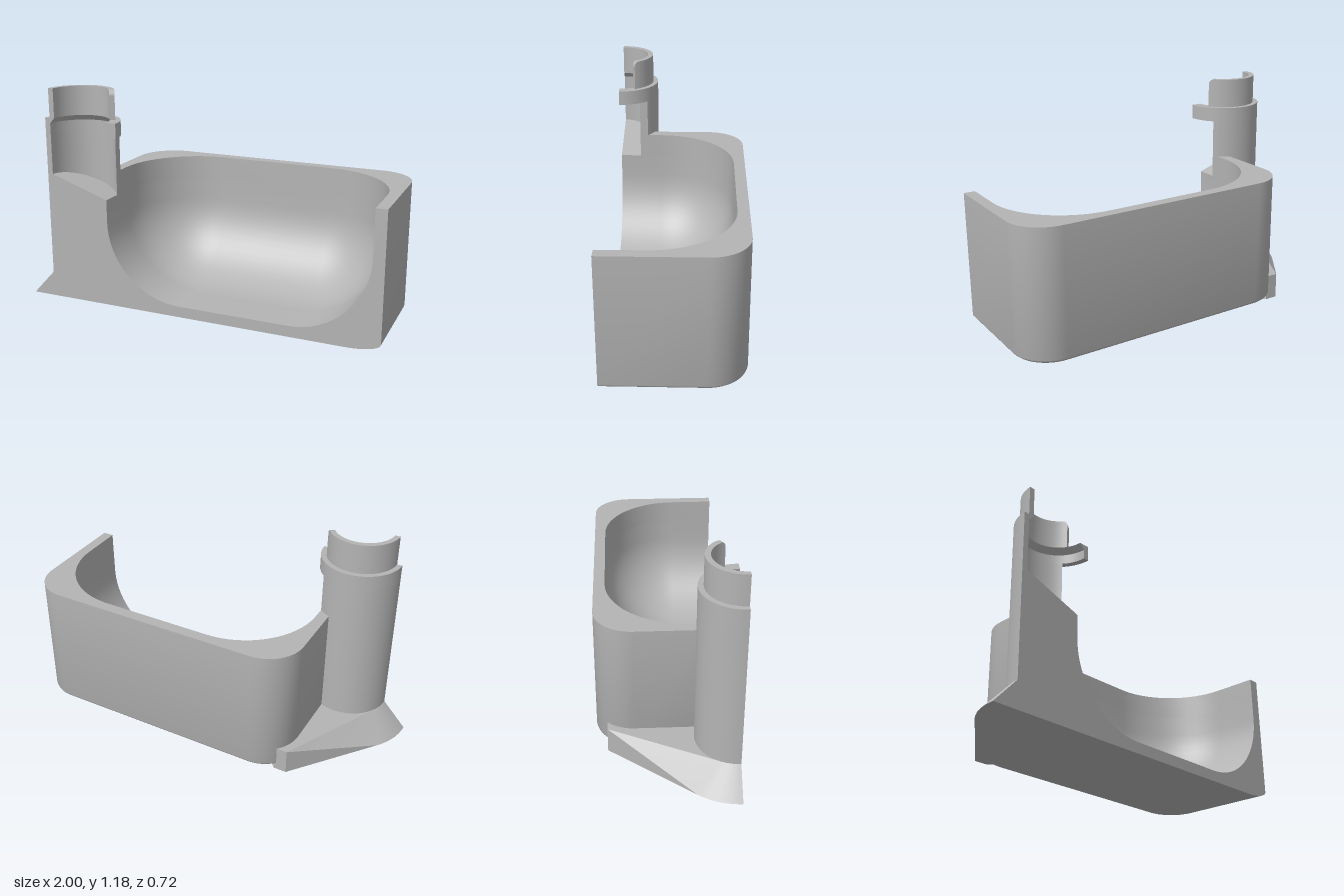
import * as THREE from 'three';
import { toCreasedNormals } from 'three/addons/utils/BufferGeometryUtils.js';

const F = 0.355;            // flat section plane at the front
const CX = -0.655;          // axis of the pipe
const WALL = -0.51;         // left wall of the basin
const R_OUT = 0.215, R_IN = 0.185;

// surface through rows of points
function skin(rows, flip = false) {
  const pos = [];
  for (let i = 0; i < rows.length - 1; i++) {
    for (let j = 0; j < rows[i].length - 1; j++) {
      const a = rows[i][j], b = rows[i][j + 1], c = rows[i + 1][j + 1], d = rows[i + 1][j];
      const tris = flip ? [a, c, b, a, d, c] : [a, b, c, a, c, d];
      tris.forEach((p) => pos.push(...p));
    }
  }
  const g = new THREE.BufferGeometry();
  g.setAttribute('position', new THREE.Float32BufferAttribute(pos, 3));
  return toCreasedNormals(g, 0.6);
}

const polygon = (pts) => new THREE.ShapeGeometry(new THREE.Shape(pts.map((p) => new THREE.Vector2(p[0], p[1]))));
const faceUp = (pts, y) => polygon(pts.map((p) => [p[0], -p[2]])).rotateX(-Math.PI / 2).translate(0, y, 0);
const faceDown = (pts, y) => polygon(pts.map((p) => [p[0], p[2]])).rotateX(Math.PI / 2).translate(0, y, 0);
const faceFront = (pts) => polygon(pts).translate(0, 0, F);

// plan outline, open at the front: right side, back, left side
function loop(x0, x1, zb, r, d, y, zLeft) {
  const rr = Math.max(r - d, 0.001), n = 16, pts = [[x1 - d, y, F]];
  for (const [cx, start] of [[x1 - r, 0], [x0 + r, Math.PI / 2]]) {
    for (let k = 0; k <= n; k++) {
      const a = start + (k / n) * Math.PI / 2;
      pts.push([cx + rr * Math.cos(a), y, zb + r - rr * Math.sin(a)]);
    }
  }
  pts.push([x0 + d, y, zLeft]);
  return pts;
}

// arc about the pipe axis, from the left (t = 0) round the back to the right (t = PI)
const range = (a, b, n) => Array.from({ length: n + 1 }, (_, k) => a + (b - a) * k / n);
const arc = (r, ts, y) => ts.map((t) => {
  const x = CX - r * Math.cos(t);
  return [x, typeof y === 'function' ? y(x, t) : y, F - r * Math.sin(t)];
});
// angle at which a circle about the axis meets the basin wall
const cutAngle = (r) => Math.PI - Math.acos((WALL - CX) / r);

export function createModel() {
  const model = new THREE.Group();
  const grey = new THREE.MeshStandardMaterial({ color: 0xb4b4b4, side: THREE.DoubleSide });
  grey.name = 'plain grey';
  const add = (name, geometry) => {
    const m = new THREE.Mesh(geometry, grey);
    m.name = name;
    model.add(m);
  };

  // outer body with a shallow rounded lower edge
  const outer = (d, y, zl = 0.165) => loop(-0.57, 1, -0.36, 0.2, d, y, zl);
  const edge = range(0, Math.PI / 2, 8).map((a) => [0.18 * (1 - Math.sin(a)), 0.045 * (1 - Math.cos(a))]);
  add('bodyWall', skin([...edge.map(([d, y]) => outer(d, y)), outer(0, 0.73)]));
  add('bodyUnderside', faceDown([...outer(0.18, 0), [-0.39, 0, F]], 0));

  // basin: round corners running into a round floor edge
  const basin = (d, y, zl = F) => loop(WALL, 0.94, -0.3, 0.42, d, y, zl);
  const bowl = range(0, Math.PI / 2, 16).map((a) => [0.42 * (1 - Math.sin(a)), 0.06 + 0.42 * (1 - Math.cos(a))]);
  add('basinBowl', skin([...bowl.map(([d, y]) => basin(d, y)), basin(0, 0.6)], true));
  add('basinUpperWall', skin([basin(0, 0.6, 0.24), basin(0, 0.73, 0.24)], true));
  add('basinFloor', faceUp([[-0.09, 0, 0.12], [0.52, 0, 0.12], [0.52, 0, F], [-0.09, 0, F]], 0.06));
  add('rim', faceUp([...outer(0, 0.73), ...basin(0, 0.73, 0.205).reverse()], 0.73));

  // pipe, cut away on the right where it opens to the basin
  const tOut = range(0, cutAngle(R_OUT), 32), tIn = range(0, cutAngle(R_IN), 32);
  const half = range(0, Math.PI, 40);
  const slope = (x) => 0.71 - (x + 0.84) / 3;
  add('pipeOutside', skin([arc(R_OUT, tOut, 0.0), arc(R_OUT, tOut, 0.94)], true));
  add('pipeBore', skin([arc(R_IN, tIn, slope), arc(R_IN, tIn, 0.94)]));
  const floorArc = arc(R_IN, tIn, slope);
  add('pipeSlopedFloor', skin([floorArc.map(([x, y]) => [x, y, F]), floorArc]));
  add('pipeCutEdge', skin([0.6, 0.94].map((y) => [[WALL, y, 0.24], [WALL, y, 0.196]])));

  // collar at the top of the pipe
  add('collarOutside', skin([arc(R_OUT, half, 0.94), arc(R_OUT, half, 1.02)], true));
  add('collarInside', skin([arc(R_IN, half, 0.94), arc(R_IN, half, 0.99), arc(0.158, half, 1.02)]));
  add('collarTop', skin([arc(0.158, half, 1.02), arc(R_OUT, half, 1.02)]));
  add('collarUnderside', skin([
    arc(R_IN, range(cutAngle(R_IN), Math.PI, 12), 0.94),
    arc(R_OUT, range(cutAngle(R_OUT), Math.PI, 12), 0.94),
  ], true));

  // thin spout ring with a slot on the right and a rounded slot corner
  const end = 2.64, rSpout = 0.187, rSpoutIn = 0.158, corner = 0.03;
  const tSpout = [...range(0, end - 0.17, 28), ...range(end - 0.16, end, 10)];
  const spoutTop = (x, t) => {
    const s = Math.min((end - t) * rSpout, corner);
    return 1.18 - corner + Math.sqrt(Math.max(0, corner ** 2 - (corner - s) ** 2));
  };
  const topIn = arc(rSpoutIn, tSpout, spoutTop), topOut = arc(rSpout, tSpout, spoutTop);
  add('spoutOutside', skin([arc(rSpout, tSpout, 1.02), topOut], true));
  add('spoutInside', skin([arc(rSpoutIn, tSpout, 1.02), topIn]));
  add('spoutTop', skin([topIn, topOut]));
  add('spoutSlotEdge', skin([1.02, 1.15].map((y) => [arc(rSpout, [end], y)[0], arc(rSpoutIn, [end], y)[0]])));

  // splayed foot tapering up to the pipe and back to a corner
  const tail = (y) => [[-0.57, y, -0.3], [-0.5, y, -0.3]];
  const footLow = [...arc(0.345, range(0, 0.68, 14), 0), ...tail(0)];
  const footHigh = [...arc(R_OUT, range(0, 0.456, 14), 0.14), ...tail(0.14)];
  add('footSide', skin([footLow, footHigh], true));
  add('footTop', faceUp([...footHigh, [-0.53, 0, 0.1], [-0.53, 0, F]], 0.14));
  add('footUnderside', faceDown([...footLow, [-0.39, 0, -0.18], [-0.39, 0, F]], 0));

  // flat section face
  const bowlRight = bowl.map(([d, y]) => [0.94 - d, y]).reverse();
  const bowlLeft = bowl.map(([d, y]) => [WALL + d, y]);
  add('sectionFace', faceFront([
    [-1, 0], ...edge.map(([d, y]) => [1 - d, y]), [1, 0.73], [0.94, 0.73],
    ...bowlRight, ...bowlLeft, [WALL, 0.6], [-0.84, 0.71],
    [-0.84, 0.99], [CX - rSpoutIn, 1.02], [CX - rSpoutIn, 1.18], [CX - rSpout, 1.18],
    [CX - rSpout, 1.02], [-0.87, 1.02], [-0.87, 0.14],
  ]));
  add('collarSectionFace', faceFront([
    [-0.47, 0.94], [-0.44, 0.94], [-0.44, 1.02], [CX + rSpoutIn, 1.02], [-0.47, 0.99],
  ]));

  return model;
}
